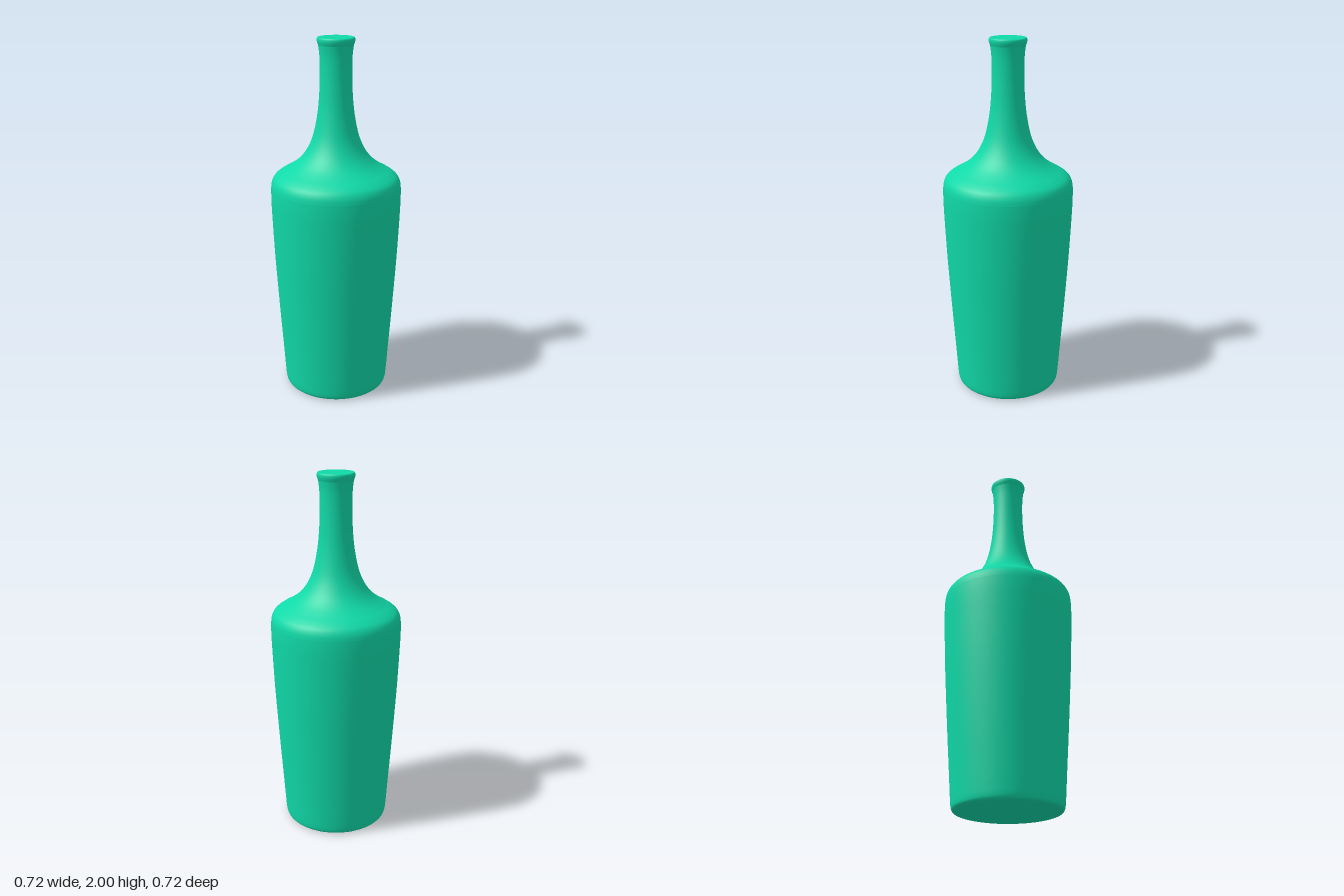
import * as THREE from 'three';

const material = new THREE.MeshStandardMaterial({ color: 0x10d9a8 });

function lathe(name, points) {
  const mesh = new THREE.Mesh(new THREE.LatheGeometry(points, 96), material);
  mesh.name = name;
  return mesh;
}

// Smooth curve through [radius, height] pairs
function curve(pairs, divisions) {
  return new THREE.SplineCurve(pairs.map(([r, y]) => new THREE.Vector2(r, y))).getPoints(divisions);
}

function disc(name, radius, y, up) {
  const mesh = new THREE.Mesh(new THREE.CircleGeometry(radius, 96), material);
  mesh.name = name;
  mesh.rotation.x = up ? -Math.PI / 2 : Math.PI / 2;
  mesh.position.y = y;
  return mesh;
}

export function createModel() {
  const bottle = new THREE.Group();
  bottle.name = 'bottle';

  // Tapered body with a rounded foot
  bottle.add(lathe('body', curve([
    [0.272, 0], [0.286, 0.006], [0.294, 0.025], [0.299, 0.08], [0.307, 0.2], [0.321, 0.4],
    [0.334, 0.6], [0.346, 0.8], [0.355, 1.0], [0.359, 1.12], [0.358, 1.19],
  ], 50)));

  // Rounded shoulder sweeping up into the slim neck
  bottle.add(lathe('shoulderAndNeck', curve([
    [0.358, 1.19], [0.353, 1.22], [0.338, 1.248], [0.307, 1.272], [0.265, 1.296],
    [0.222, 1.325], [0.186, 1.36], [0.158, 1.4], [0.134, 1.45], [0.116, 1.51],
    [0.101, 1.59], [0.092, 1.67], [0.087, 1.76], [0.086, 1.84], [0.088, 1.91], [0.094, 1.96],
  ], 75)));

  // Small flared lip
  bottle.add(lathe('lip', curve([
    [0.094, 1.96], [0.099, 1.974], [0.101, 1.985], [0.1, 1.995], [0.096, 2],
  ], 16)));

  // Closed ends
  bottle.add(disc('base', 0.272, 0, false));
  bottle.add(disc('topCap', 0.096, 2, true));
  return bottle;
}
